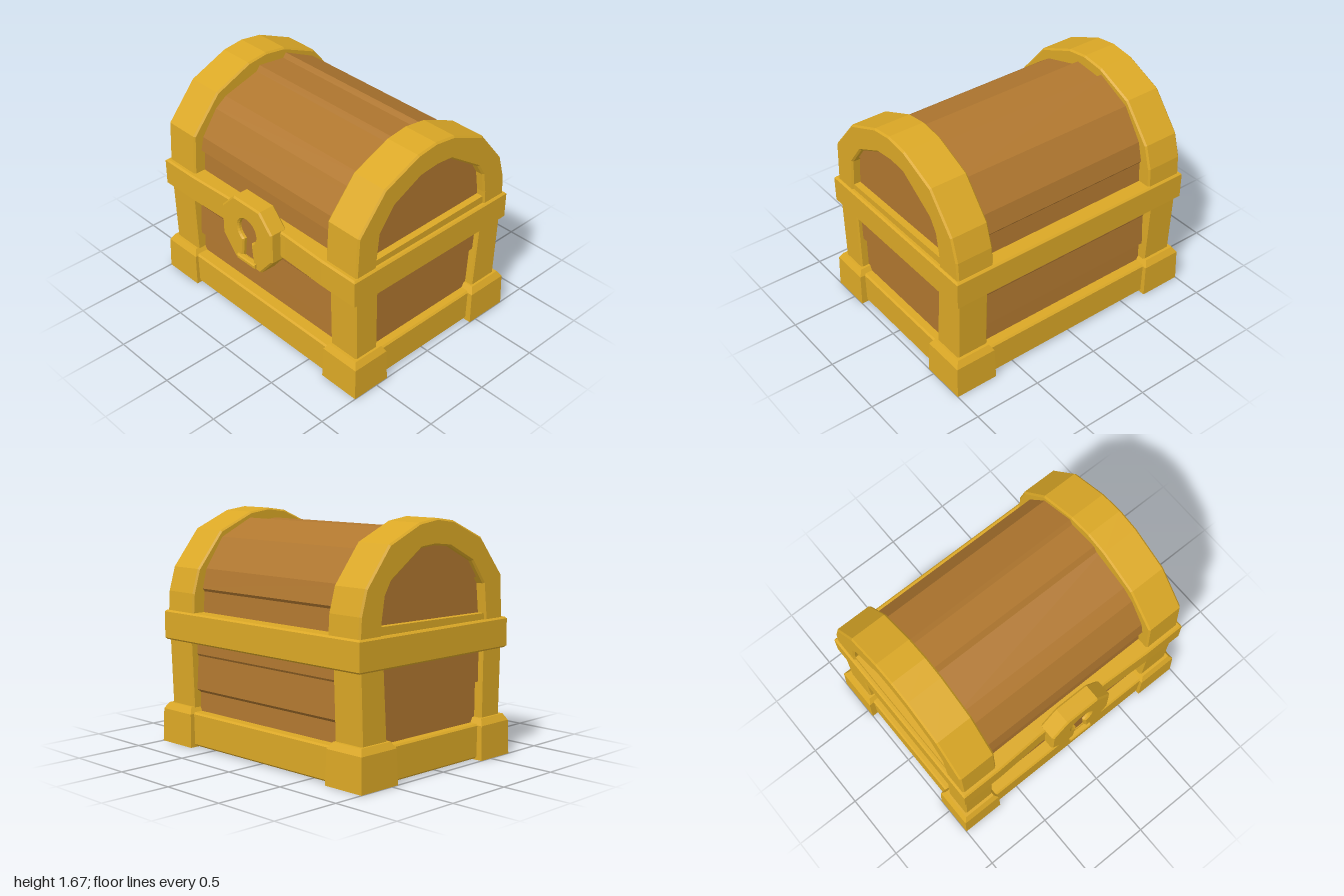
import * as THREE from 'three';

const gold = new THREE.MeshStandardMaterial({ color: 0xdba826 });
gold.name = 'gold trim';
const wood = new THREE.MeshStandardMaterial({ color: 0xb0772f });
wood.name = 'brown wood';

const shapeOf = (pts) => new THREE.Shape(pts.map(([a, b]) => new THREE.Vector2(a, b)));

// Extrusion whose bevel stays inside the given outline and depth
function extrude(shape, depth, bevel) {
  const g = new THREE.ExtrudeGeometry(shape, {
    depth: depth - 2 * bevel, bevelEnabled: bevel > 0, bevelThickness: bevel,
    bevelSize: bevel, bevelOffset: -bevel, bevelSegments: 1, curveSegments: 12,
  });
  return g.translate(0, 0, bevel);
}

// Outline in (z, y), extruded along x from x0 to x1
function prismX(pts, x0, x1, bevel = 0) {
  return extrude(shapeOf(pts), x1 - x0, bevel).rotateY(-Math.PI / 2).translate(x1, 0, 0);
}

// Outline in (x, z), extruded upward from y0 to y1
function prismY(pts, y0, y1, bevel = 0) {
  return extrude(shapeOf(pts), y1 - y0, bevel).rotateX(Math.PI / 2).translate(0, y1, 0);
}

// Corner foot: slightly tapered block with a chamfered top
function footGeometry(w, d) {
  const levels = [[0, 1], [0.24, 0.96], [0.285, 0.79]];
  const g = new THREE.BoxGeometry(w, 2, d, 1, 2, 1).toNonIndexed();
  const p = g.attributes.position;
  for (let i = 0; i < p.count; i++) {
    const [y, s] = levels[Math.round(p.getY(i) + 1)];
    p.setXYZ(i, p.getX(i) * s, y, p.getZ(i) * s);
  }
  g.computeVertexNormals();
  return g;
}

export function createModel() {
  const model = new THREE.Group();
  model.name = 'treasureChest';
  const add = (name, geometry, material) => {
    const m = new THREE.Mesh(geometry, material);
    m.name = name;
    model.add(m);
    return m;
  };

  // Wooden body, with overlapping planks front and back
  const face = [[0.59, 0.1], [0.575, 0.385], [0.607, 0.41], [0.592, 0.65], [0.602, 0.665], [0.592, 0.85]];
  const back = face.map(([z, y]) => [-0.08 - z, y]).reverse();
  add('bodyPlanks', prismX([...face, ...back], -0.86, 0.86), wood);

  // Wooden lid, stepped where the planks overlap
  add('lidPlanks', prismX([
    [0.575, 0.9], [0.56, 1.105], [0.588, 1.13], [0.565, 1.23], [0.44, 1.41], [0.35, 1.475],
    [0.065, 1.56], [0.035, 1.598], [-0.185, 1.575], [-0.21, 1.608], [-0.47, 1.485],
    [-0.62, 1.27], [-0.655, 1.13], [-0.64, 1.11], [-0.655, 0.9],
  ], -0.8, 0.8), wood);

  // Base and middle band
  add('baseRim', prismY([[-0.955, -0.74], [0.955, -0.74], [0.955, 0.672], [-0.955, 0.672]], 0.01, 0.25, 0.012), gold);
  add('middleBand', prismY([
    [-0.97, -0.765], [0.97, -0.765], [0.97, 0.69], [0.66, 0.69], [0.3, 0.675],
    [-0.3, 0.675], [-0.66, 0.69], [-0.97, 0.69],
  ], 0.75, 0.963, 0.012), gold);

  // Lid arch: outer curve, then inner curve back again
  const arch = [
    [0.66, 0.93], [0.642, 1.26], [0.42, 1.525], [0.13, 1.65], [-0.03, 1.672], [-0.2, 1.65],
    [-0.48, 1.53], [-0.69, 1.27], [-0.74, 1.1], [-0.75, 0.93],
    [-0.55, 0.93], [-0.54, 1.06], [-0.515, 1.21], [-0.46, 1.3], [-0.18, 1.487], [-0.05, 1.498],
    [0.1, 1.482], [0.33, 1.37], [0.45, 1.21], [0.48, 0.93],
  ];

  // End panels as (z, y) outlines, each with its outer x
  const panels = [
    ['lowerEndPlank', 0.89, [[0.52, 0.2], [0.52, 0.55], [-0.58, 0.6], [-0.58, 0.2]]],
    ['upperEndPlank', 0.915, [[0.52, 0.53], [0.1, 0.545], [-0.12, 0.575], [-0.58, 0.58], [-0.58, 0.8], [0.52, 0.8]]],
    ['lowerLidEndPlank', 0.89, [[0.52, 0.9], [0.5, 1.27], [-0.55, 1.34], [-0.6, 0.9]]],
    ['upperLidEndPlank', 0.915, [[0.48, 1.25], [0.1, 1.265], [-0.52, 1.305], [-0.2, 1.53], [0.12, 1.53], [0.36, 1.41]]],
  ];

  for (const [side, s] of [['left', 1], ['right', -1]]) {
    const span = (a, b) => (s > 0 ? [a, b] : [-b, -a]);
    add(side + 'LidArch', prismX(arch, ...span(0.67, 0.953), 0.012), gold);
    add(side + 'LidSill', prismX([[0.55, 0.94], [0.55, 1.005], [-0.62, 1.02], [-0.62, 0.94]], ...span(0.8, 0.94)), gold);
    for (const [name, x, pts] of panels) add(side + '_' + name, prismX(pts, ...span(0.78, x)), wood);

    // Corner posts and feet
    add(side + 'FrontPost', prismX([[0.645, 0.2], [0.66, 0.8], [0.455, 0.8], [0.45, 0.2]], ...span(0.71, 0.95), 0.01), gold);
    add(side + 'BackPost', prismX([[-0.485, 0.2], [-0.522, 0.8], [-0.74, 0.8], [-0.718, 0.2]], ...span(0.71, 0.95), 0.01), gold);
    add(side + 'FrontFoot', footGeometry(0.32, 0.3), gold).position.set(s * 0.84, 0, 0.55);
    add(side + 'BackFoot', footGeometry(0.32, 0.335), gold).position.set(s * 0.84, 0, -0.61);
  }

  // Octagonal lock plate with a keyhole cut through it
  const lock = shapeOf([
    [-0.13, 0.59], [0.13, 0.59], [0.252, 0.74], [0.252, 0.965],
    [0.135, 1.095], [-0.13, 1.095], [-0.255, 0.965], [-0.255, 0.74],
  ]);
  const keyhole = new THREE.Path();
  keyhole.absarc(0, 0.87, 0.09, -1.15, Math.PI + 1.15, false);
  keyhole.lineTo(-0.055, 0.635);
  keyhole.lineTo(0.055, 0.635);
  keyhole.closePath();
  lock.holes.push(keyhole);
  add('lockPlate', extrude(lock, 0.135, 0.012).translate(0, 0, 0.62), gold);
  add('keyholeBack', new THREE.BoxGeometry(0.24, 0.4, 0.008).translate(0, 0.81, 0.72), wood);
  add('keyholeLip', extrude(shapeOf([[-0.095, 0.61], [0.09, 0.61], [0.09, 0.645], [-0.095, 0.645]]), 0.045, 0.008)
    .translate(0, 0, 0.73), gold);

  return model;
}
